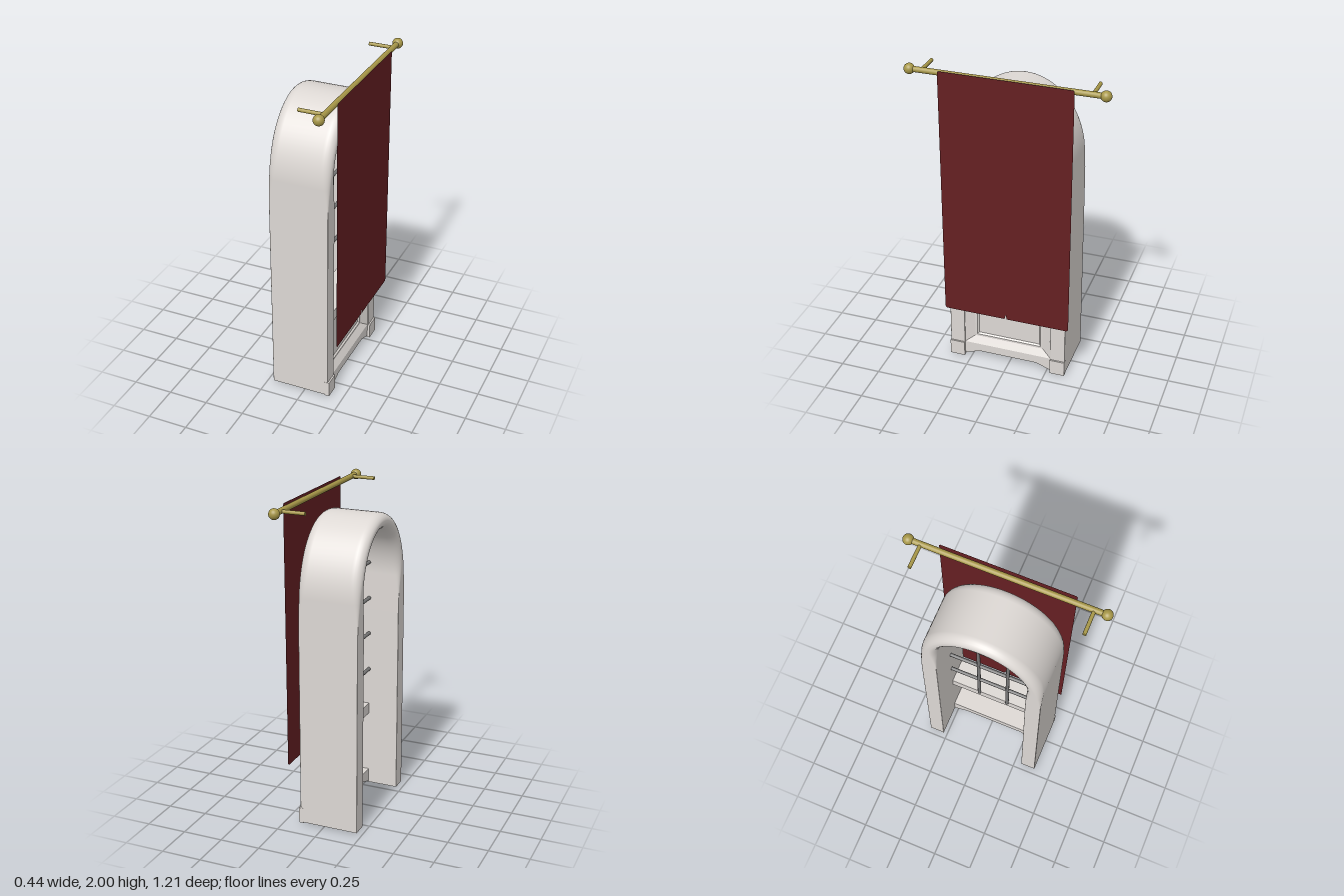
import * as THREE from 'three';

const stone = new THREE.MeshStandardMaterial({ color: 0xddd8d4, side: THREE.DoubleSide });
const iron = new THREE.MeshStandardMaterial({ color: 0x777777 });
const gold = new THREE.MeshStandardMaterial({ color: 0xa89848 });
const red = new THREE.MeshStandardMaterial({ color: 0x651f22, side: THREE.DoubleSide });
const ZC = 0.01; // middle of the niche along z

function add(parent, name, geometry, material, x = 0, y = 0, z = 0) {
  const mesh = new THREE.Mesh(geometry, material);
  mesh.name = name;
  mesh.position.set(x, y, z);
  parent.add(mesh);
  return mesh;
}

// Straight round bar between two points
function bar(parent, name, a, b, r, material) {
  const from = new THREE.Vector3(...a), to = new THREE.Vector3(...b);
  const dir = to.clone().sub(from);
  const mesh = add(parent, name, new THREE.CylinderGeometry(r, r, dir.length(), 16), material);
  mesh.position.copy(from).add(to).multiplyScalar(0.5);
  mesh.quaternion.setFromUnitVectors(new THREE.Vector3(0, 1, 0), dir.normalize());
}

// Path of the arch: up one slightly leaning post, over the ellipse, down the other
function archPath() {
  const foot = 0.3325, a = 0.324, b = 0.395, spring = 1.437, path = [];
  const post = [0.005, 0.65, 1.2, 1.3, 1.37].map((y) => [y, THREE.MathUtils.lerp(foot, a, y / spring)]);
  for (const [y, z] of post) path.push({ z, y, nz: 1, ny: 0 });
  for (let i = 0; i <= 40; i++) {
    const t = Math.PI * i / 40;
    const n = new THREE.Vector2(Math.cos(t) / a, Math.sin(t) / b).normalize();
    path.push({ z: a * Math.cos(t), y: spring + b * Math.sin(t), nz: n.x, ny: n.y });
  }
  for (const [y, z] of post.reverse()) path.push({ z: -z, y, nz: -1, ny: 0 });
  return path;
}

// Sweep a rectangle whose corners grow softer towards the top
function archGeometry() {
  const path = archPath(), pos = [], nor = [], idx = [], steps = 6, ring = 4 * (steps + 1);
  for (const p of path) {
    const soft = THREE.MathUtils.smoothstep(p.y, 1.25, 1.6);
    const rx = 0.003 + 0.057 * soft, rn = 0.003 + 0.042 * soft;
    const hx = 0.185 + 0.007 * soft, hn = 0.0475;
    for (let c = 0; c < 4; c++) {
      const sx = c === 0 || c === 3 ? 1 : -1, sn = c < 2 ? 1 : -1;
      for (let s = 0; s <= steps; s++) {
        const ang = (c + s / steps) * Math.PI / 2;
        const ca = Math.cos(ang), sa = Math.sin(ang);
        const n = sn * (hn - rn) + rn * sa;
        const normal = new THREE.Vector2(ca / rx, sa / rn).normalize();
        pos.push(-0.03 + sx * (hx - rx) + rx * ca, p.y + p.ny * n, ZC + p.z + p.nz * n);
        nor.push(normal.x, p.ny * normal.y, p.nz * normal.y);
      }
    }
  }
  for (let i = 0; i < path.length - 1; i++) {
    for (let j = 0; j < ring; j++) {
      const k = (j + 1) % ring, a = i * ring + j, b = i * ring + k;
      idx.push(a, a + ring, b, b, a + ring, b + ring);
    }
  }
  const g = new THREE.BufferGeometry();
  g.setAttribute('position', new THREE.Float32BufferAttribute(pos, 3));
  g.setAttribute('normal', new THREE.Float32BufferAttribute(nor, 3));
  g.setIndex(idx);
  return g;
}

// Moulded panel: nested rectangles [x, half width, bottom, top]
function panelGeometry(rings) {
  const pos = [];
  const corners = ([x, w, lo, hi]) => [[x, lo, ZC + w], [x, lo, ZC - w], [x, hi, ZC - w], [x, hi, ZC + w]];
  const quad = (a, b, c, d) => pos.push(...a, ...b, ...c, ...a, ...c, ...d);
  for (let i = 0; i < rings.length - 1; i++) {
    const o = corners(rings[i]), n = corners(rings[i + 1]);
    for (let j = 0; j < 4; j++) quad(o[j], o[(j + 1) % 4], n[(j + 1) % 4], n[j]);
  }
  quad(...corners(rings[rings.length - 1]));
  const g = new THREE.BufferGeometry();
  g.setAttribute('position', new THREE.Float32BufferAttribute(pos, 3));
  g.computeVertexNormals();
  return g;
}

// Outline given as [z, y] pairs, to be turned to face +x
const outline = (points) => new THREE.Shape(points.map(([z, y]) => new THREE.Vector2(-z, y)));

export function createModel() {
  const model = new THREE.Group();

  // Arched surround with plinth blocks on the front of the posts
  const niche = new THREE.Group();
  niche.name = 'archedSurround';
  model.add(niche);
  add(niche, 'arch', archGeometry(), stone);
  for (const s of [1, -1]) {
    const z = ZC + s * 0.3325;
    add(niche, 'postBase', new THREE.BoxGeometry(0.366, 0.02, 0.091), stone, -0.03, 0.015, z);
    add(niche, 'plinth', new THREE.BoxGeometry(0.03, 0.1, 0.0955), stone, 0.15, 0.05, z);
  }

  // Lower panel: apron, moulded face and window sill
  const lower = new THREE.Group();
  lower.name = 'lowerPanel';
  model.add(lower);
  const apron = new THREE.ExtrudeGeometry(outline([
    [ZC + 0.285, 0.01], [ZC + 0.19, 0.045], [ZC - 0.19, 0.045],
    [ZC - 0.285, 0.01], [ZC - 0.285, 0.1], [ZC + 0.285, 0.1]
  ]), { depth: 0.17, bevelEnabled: false });
  add(lower, 'apron', apron.rotateY(Math.PI / 2), stone, -0.022);
  add(lower, 'mouldedPanel', panelGeometry([
    [0.148, 0.285, 0.1, 0.56], [0.122, 0.225, 0.145, 0.525],
    [0.122, 0.21, 0.158, 0.51], [0.112, 0.2, 0.168, 0.5]
  ]), stone);
  add(lower, 'sill', new THREE.BoxGeometry(0.17, 0.07, 0.57), stone, 0.063, 0.53, ZC);

  // Window bars with a small arch joining the uprights
  const bars = new THREE.Group();
  bars.name = 'windowBars';
  model.add(bars);
  const bx = -0.022, rb = 0.011;
  for (const y of [0.8, 1.04, 1.27, 1.5]) {
    bar(bars, 'crossBar', [bx, y, ZC - 0.285], [bx, y, ZC + 0.285], rb, iron);
  }
  for (const s of [1, -1]) {
    bar(bars, 'uprightBar', [bx, 0.55, ZC + s * 0.095], [bx, 1.5, ZC + s * 0.095], rb, iron);
  }
  const head = add(bars, 'barArch', new THREE.TorusGeometry(0.095, rb, 10, 24, Math.PI), iron, bx, 1.5, ZC);
  head.rotation.y = Math.PI / 2;

  // Curtain rod with ball ends and wall brackets
  const rod = new THREE.Group();
  rod.name = 'curtainRod';
  model.add(rod);
  bar(rod, 'rod', [0.188, 1.97, -0.575], [0.188, 1.97, 0.575], 0.017, gold);
  for (const s of [1, -1]) {
    add(rod, 'ballEnd', new THREE.SphereGeometry(0.032, 24, 16), gold, 0.188, 1.97, s * 0.573);
    bar(rod, 'bracket', [0.036, 1.97, s * 0.5], [0.188, 1.97, s * 0.5], 0.011, gold);
  }

  // Curtain: flat cloth with clipped corners and a small slit at the hem
  const cloth = new THREE.ShapeGeometry(outline([
    [0.394, 0.4], [0.384, 0.388], [0.004, 0.388], [-0.003, 0.42], [-0.01, 0.388], [-0.394, 0.388],
    [-0.404, 0.4], [-0.404, 1.983], [-0.396, 1.99], [0.386, 1.99], [0.394, 1.983]
  ]));
  add(model, 'curtain', cloth.rotateY(Math.PI / 2), red, 0.216);

  return model;
}
